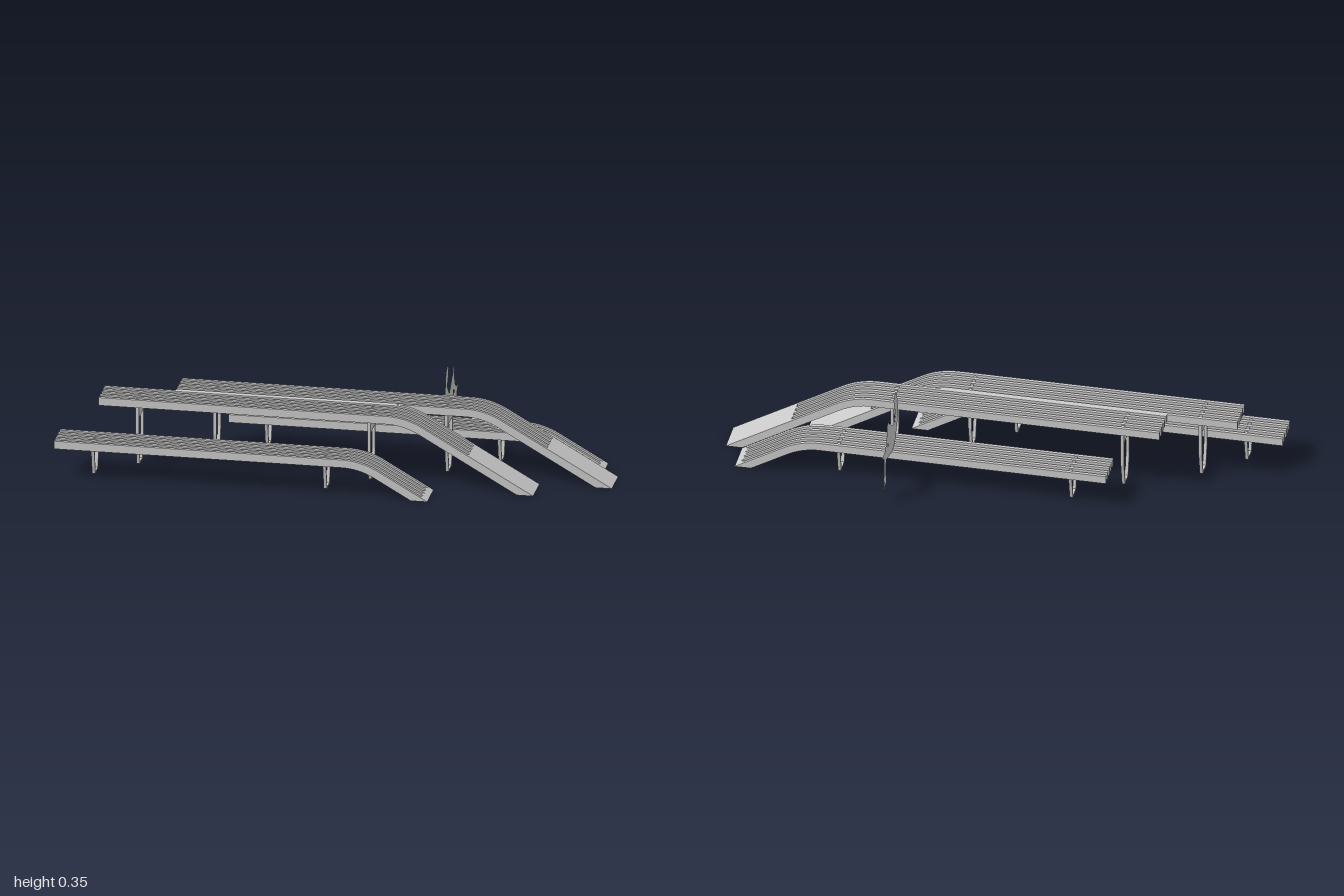
import * as THREE from 'three';

const material = new THREE.MeshStandardMaterial({ color: 0xcccccc });
const sheet = new THREE.MeshStandardMaterial({ color: 0xcccccc, side: THREE.DoubleSide });

const THICK = 0.03;          // slat depth
const SLOPE = Math.PI / 6;   // ramp angle
const RADIUS = 0.27;         // bend radius
const WIDTH = 0.127;         // bench width
const SLATS = 5;
const SLAT_W = 0.0127;

function extrude(shape, depth) {
  const geometry = new THREE.ExtrudeGeometry(shape, { depth, bevelEnabled: false, curveSegments: 8 });
  return geometry.translate(0, 0, -depth / 2);
}

function addMesh(parent, name, geometry, mat = material) {
  const mesh = new THREE.Mesh(geometry, mat);
  mesh.name = name;
  parent.add(mesh);
  return mesh;
}

const polygon = (points) => new THREE.Shape(points.map(([x, y]) => new THREE.Vector2(x, y)));

// lower end of the ramp, either cut flat on the ground or square across at height y
function rampEnd(xEnd, y) {
  const x = xEnd - y / Math.tan(SLOPE);
  return y === 0
    ? [[x, 0], [x - THICK / Math.sin(SLOPE), 0]]
    : [[x, y], [x - THICK * Math.sin(SLOPE), y - THICK * Math.cos(SLOPE)]];
}

// level run, rounded bend, then straight ramp
function slatProfile(x0, xEnd, height, endY) {
  const bendX = xEnd - height / Math.tan(SLOPE) - RADIUS * Math.tan(SLOPE / 2);
  const cy = height - RADIUS;
  const [top, bottom] = rampEnd(xEnd, endY);
  const a0 = Math.PI / 2, a1 = a0 - SLOPE;
  const s = new THREE.Shape();
  s.moveTo(x0, height);
  s.lineTo(bendX, height);
  s.absarc(bendX, cy, RADIUS, a0, a1, true);
  s.lineTo(...top);
  s.lineTo(...bottom);
  s.absarc(bendX, cy, RADIUS - THICK, a1, a0, false);
  s.lineTo(x0, height - THICK);
  s.closePath();
  return s;
}

// tapered closed leg frame with a cross beam at the top
function legGeometry(height, beamDepth) {
  const ring = (w, top, foot, base) => [
    [-w, top], [-w, 0.104], [-foot, base], [foot, base], [w, 0.104], [w, top],
  ];
  const frame = polygon(ring(0.049, height - 0.004, 0.028, 0.012));
  frame.holes.push(polygon(ring(0.041, height - beamDepth, 0.022, 0.018)));
  return extrude(frame, 0.012).rotateY(Math.PI / 2);
}

function createBench({ name, x0, xEnd, z, height, legs, board }) {
  const bench = new THREE.Group();
  bench.name = name;
  bench.position.z = z;

  // parallel slats
  const slat = extrude(slatProfile(x0, xEnd, height, board), SLAT_W);
  const pitch = (WIDTH - SLAT_W) / (SLATS - 1);
  for (let i = 0; i < SLATS; i++) {
    addMesh(bench, 'slat', slat).position.z = (i - (SLATS - 1) / 2) * pitch;
  }

  // solid ramp board on the tall benches, thin foot plate on the low ones
  if (board) {
    const [t, b] = rampEnd(xEnd, board);
    const [t0, b0] = rampEnd(xEnd, 0);
    addMesh(bench, 'rampBoard', extrude(polygon([t, t0, b0, b]), WIDTH));
  } else {
    const [t, b] = rampEnd(xEnd, 0);
    const h = 0.011, dx = h / Math.tan(SLOPE);
    const plate = polygon([[t[0] - dx, h], t, b, [b[0] - dx, h]]);
    addMesh(bench, 'footPlate', extrude(plate, WIDTH - 0.002));
  }

  // leg frames
  const leg = legGeometry(height, board ? 0.073 : 0.031);
  for (const x of legs) addMesh(bench, 'legFrame', leg).position.x = x;
  return bench;
}

// flat cut-out of a seated person, in thousandths: forward, up
const OUTLINE = [
  [111, 355], [95, 347], [82, 336], [78, 316], [75, 309], [78, 298], [67, 282], [62, 262], [64, 240],
  [73, 216], [89, 189], [102, 165], [120, 147], [153, 140], [189, 145], [256, 162], [264, 158],
  [267, 131], [265, 98], [260, 73], [260, 66], [289, 62], [331, 61], [335, 67], [327, 73], [307, 76],
  [298, 85], [309, 100], [305, 131], [302, 158], [305, 189], [313, 200], [338, 205], [338, 213],
  [313, 211], [289, 213], [276, 222], [262, 235], [255, 258], [255, 295], [229, 313], [218, 300],
  [218, 289], [198, 276], [149, 238], [125, 262], [109, 282], [113, 287], [129, 296], [127, 304],
  [135, 307], [133, 325], [140, 336], [129, 349],
];
const GAPS = [
  [[238, 220], [251, 209], [227, 204]],
  [[109, 257], [127, 229], [125, 226]],
];

function createFigure(x) {
  const scaled = (pts) => pts.map(([u, v]) => [u / 1000, v / 1000]);
  const shape = polygon(scaled(OUTLINE));
  for (const gap of GAPS) shape.holes.push(polygon(scaled(gap)));
  const figure = new THREE.Mesh(new THREE.ShapeGeometry(shape).rotateY(Math.PI / 2), sheet);
  figure.name = 'seatedFigure';
  figure.position.x = x;
  return figure;
}

export function createModel() {
  const model = new THREE.Group();
  model.name = 'steppedBenches';
  const benches = [
    { name: 'frontLowBench', x0: -1, xEnd: 0.37, z: 0.276, height: 0.14, legs: [-0.86, -0.01], board: 0 },
    { name: 'frontTallBench', x0: -0.86, xEnd: 0.735, z: 0.148, height: 0.27, legs: [-0.72, 0.13], board: 0.138 },
    { name: 'backTallBench', x0: -0.6, xEnd: 1, z: 0.021, height: 0.27, legs: [-0.46, 0.39], board: 0.138 },
    { name: 'backLowBench', x0: -0.43, xEnd: 0.94, z: -0.107, height: 0.14, legs: [-0.295, 0.56], board: 0 },
  ];
  for (const spec of benches) model.add(createBench(spec));
  model.add(createFigure(0.36));
  return model;
}
